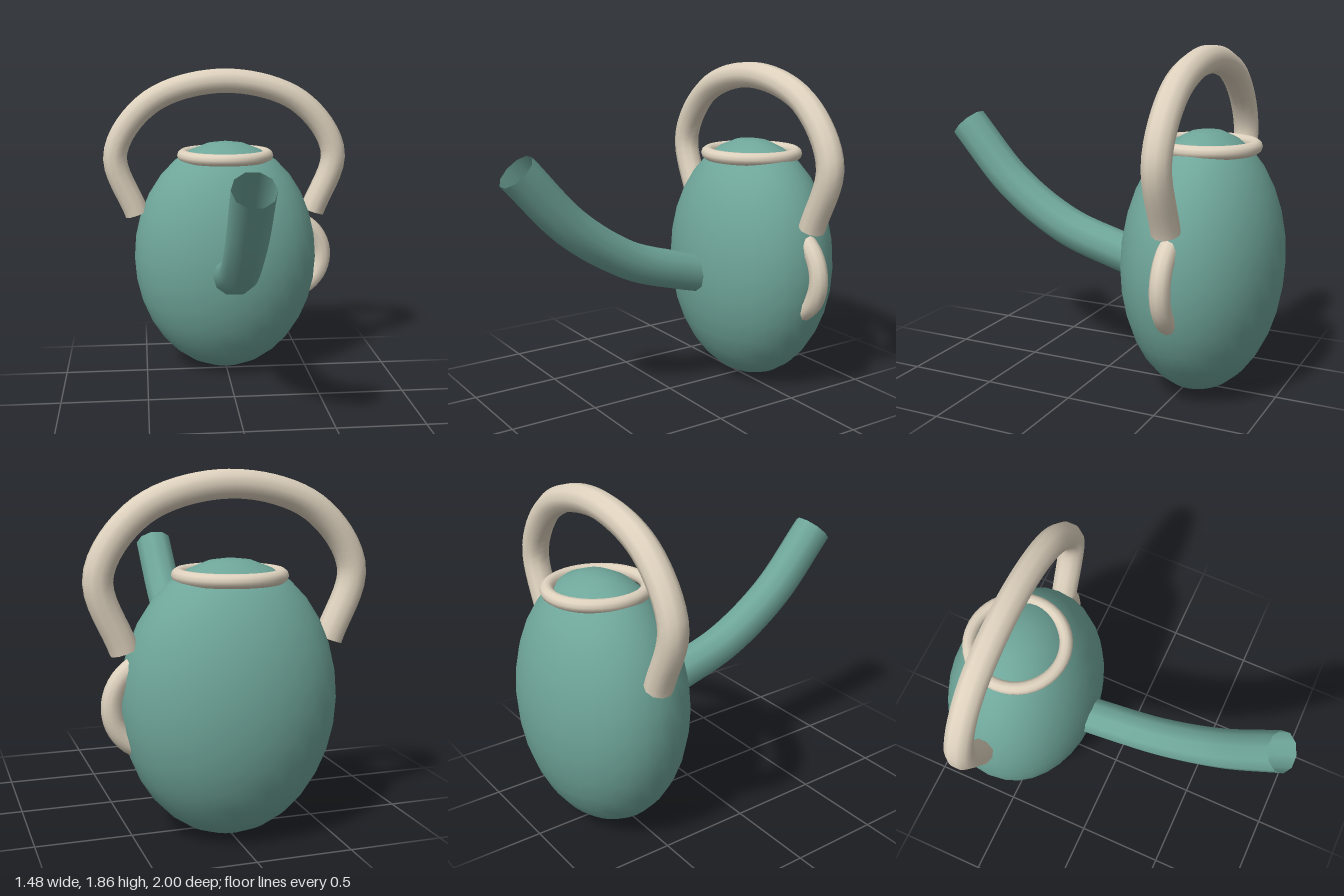
import * as THREE from 'three';

const AXIS_Z = -0.572; // the body stands behind the centre, the spout reaches forward

export function createModel() {
  const group = new THREE.Group();
  const green = new THREE.MeshStandardMaterial({ color: 0x6fa69a, side: THREE.DoubleSide });
  const cream = new THREE.MeshStandardMaterial({ color: 0xded2be, side: THREE.DoubleSide });

  const add = (name, geometry, material, x = 0, y = 0, z = 0) => {
    const mesh = new THREE.Mesh(geometry, material);
    mesh.name = name;
    mesh.position.set(x, y, z);
    group.add(mesh);
    return mesh;
  };
  const tube = (points, segments, radius) => new THREE.TubeGeometry(
    new THREE.CatmullRomCurve3(points.map(p => new THREE.Vector3(...p))), segments, radius, 10);

  // Oval body, flattened front to back
  const body = new THREE.SphereGeometry(1, 32, 16);
  body.scale(0.563, 0.715, 0.425);
  add('body', body, green, 0, 0.717, AXIS_Z);

  // Open curved spout
  add('spout', tube([
    [0, 0.67, -0.22], [0, 0.715, -0.05], [0, 0.82, 0.27],
    [0, 1.04, 0.61], [0, 1.375, 0.922],
  ], 32, 0.11), green);

  // Overhead handle, mirrored left to right
  const half = [[0.542, 0.99], [0.667, 1.36], [0.45, 1.67]];
  const arch = [
    ...half.map(([x, y]) => [-x, y, 0]),
    [0, 1.793, 0],
    ...half.map(([x, y]) => [x, y, 0]).reverse(),
  ];
  add('handle', tube(arch, 48, 0.075), cream, 0, 0, AXIS_Z);

  // Ring around the top
  const rim = new THREE.TorusGeometry(0.258, 0.036, 10, 40);
  rim.rotateX(Math.PI / 2);
  add('rimRing', rim, cream, 0, 1.345, AXIS_Z);

  // Small half-sunk grip on the left side
  const grip = new THREE.TorusGeometry(0.235, 0.053, 10, 24, Math.PI);
  grip.rotateZ(-Math.PI / 2);
  add('sideGrip', grip, cream, 0.377, 0.707, AXIS_Z);

  return group;
}
